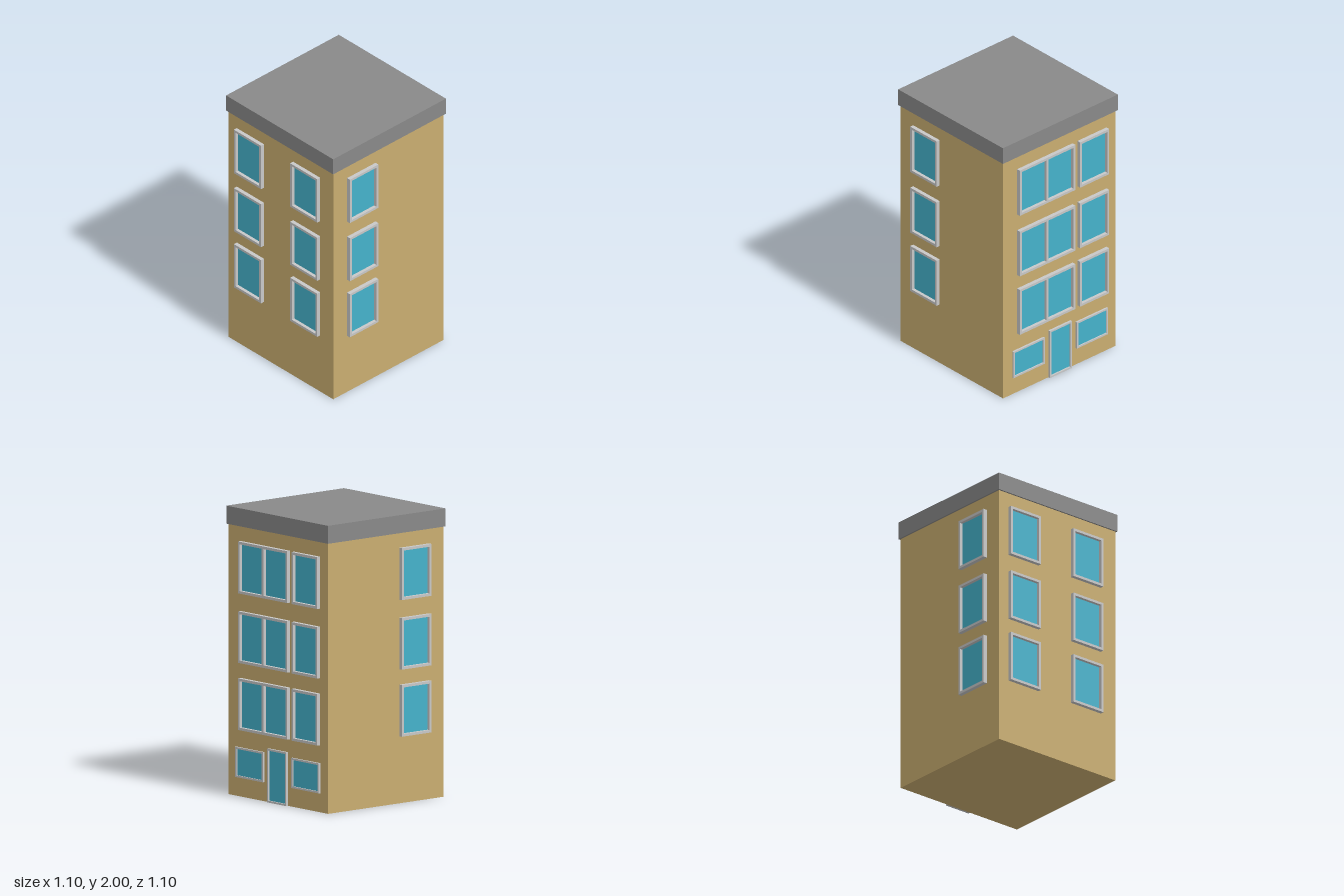
import * as THREE from 'three';

const mat = (name, color) => {
  const m = new THREE.MeshStandardMaterial({ color });
  m.name = name;
  return m;
};

export function createModel() {
  const wall = mat('wall tan', 0xc9ad70);
  const roofGrey = mat('roof grey', 0x898989);
  const frameGrey = mat('frame light grey', 0xc8c8c8);
  const glassBlue = mat('glass blue', 0x45b2cb);

  const HALF = 0.52; // distance from the centre to each wall
  const model = new THREE.Group();
  model.name = 'building';

  const box = (name, w, h, d, y, material) => {
    const mesh = new THREE.Mesh(new THREE.BoxGeometry(w, h, d), material);
    mesh.name = name;
    mesh.position.y = y;
    return mesh;
  };
  model.add(box('walls', 2 * HALF, 1.88, 2 * HALF, 0.94, wall));
  model.add(box('roof', 1.062, 0.125, 1.062, 1.9375, roofGrey));

  const rect = (Type, x0, y0, x1, y1) => {
    const p = new Type();
    p.moveTo(x0, y0);
    p.lineTo(x1, y0);
    p.lineTo(x1, y1);
    p.lineTo(x0, y1);
    p.closePath();
    return p;
  };

  // Framed opening on a wall facing +z, split into equal panes
  function opening(name, x0, y0, x1, y1, { panes = 1, bar = 0.018, mullion = 0.02, depth = 0.028 } = {}) {
    const group = new THREE.Group();
    group.name = name;
    const shape = rect(THREE.Shape, x0, y0, x1, y1);
    const paneW = (x1 - x0 - 2 * bar - (panes - 1) * mullion) / panes;
    for (let i = 0; i < panes; i++) {
      const px = x0 + bar + i * (paneW + mullion);
      shape.holes.push(rect(THREE.Path, px, y0 + bar, px + paneW, y1 - bar));
      const glass = new THREE.Mesh(new THREE.BoxGeometry(paneW, y1 - y0 - 2 * bar, 0.005), glassBlue);
      glass.name = 'glass';
      glass.position.set(px + paneW / 2, (y0 + y1) / 2, HALF + 0.0025);
      group.add(glass);
    }
    const frame = new THREE.Mesh(
      new THREE.ExtrudeGeometry(shape, { depth, bevelEnabled: false }), frameGrey);
    frame.name = 'frame';
    frame.position.z = HALF;
    group.add(frame);
    return group;
  }

  // Each side is built facing +z, then turned into place
  const side = (name, angle) => {
    const g = new THREE.Group();
    g.name = name;
    g.rotation.y = angle;
    model.add(g);
    return g;
  };
  const front = side('frontSide', 0);
  const entrance = side('entranceSide', Math.PI / 2);
  const back = side('backSide', Math.PI);
  const far = side('farSide', -Math.PI / 2);

  // Three upper floors of windows
  for (const [y0, y1] of [[0.465, 0.823], [0.93, 1.287], [1.412, 1.772]]) {
    front.add(opening('window', -0.39, y0, -0.122, y1));
    back.add(opening('window', 0.122, y0, 0.39, y1));
    far.add(opening('window', -0.436, y0, -0.167, y1));
    far.add(opening('window', 0.122, y0, 0.39, y1));
    entrance.add(opening('doubleWindow', -0.39, y0, 0.123, y1, { panes: 2 }));
    entrance.add(opening('window', 0.167, y0, 0.436, y1));
  }

  // Ground floor: door between two shallow windows
  const low = { bar: 0.013, depth: 0.014 };
  entrance.add(opening('groundWindow', -0.435, 0.132, -0.147, 0.341, low));
  entrance.add(opening('groundWindow', 0.15, 0.132, 0.438, 0.341, low));
  entrance.add(opening('door', -0.101, 0, 0.101, 0.373, { bar: 0.013, depth: 0.017 }));

  return model;
}
